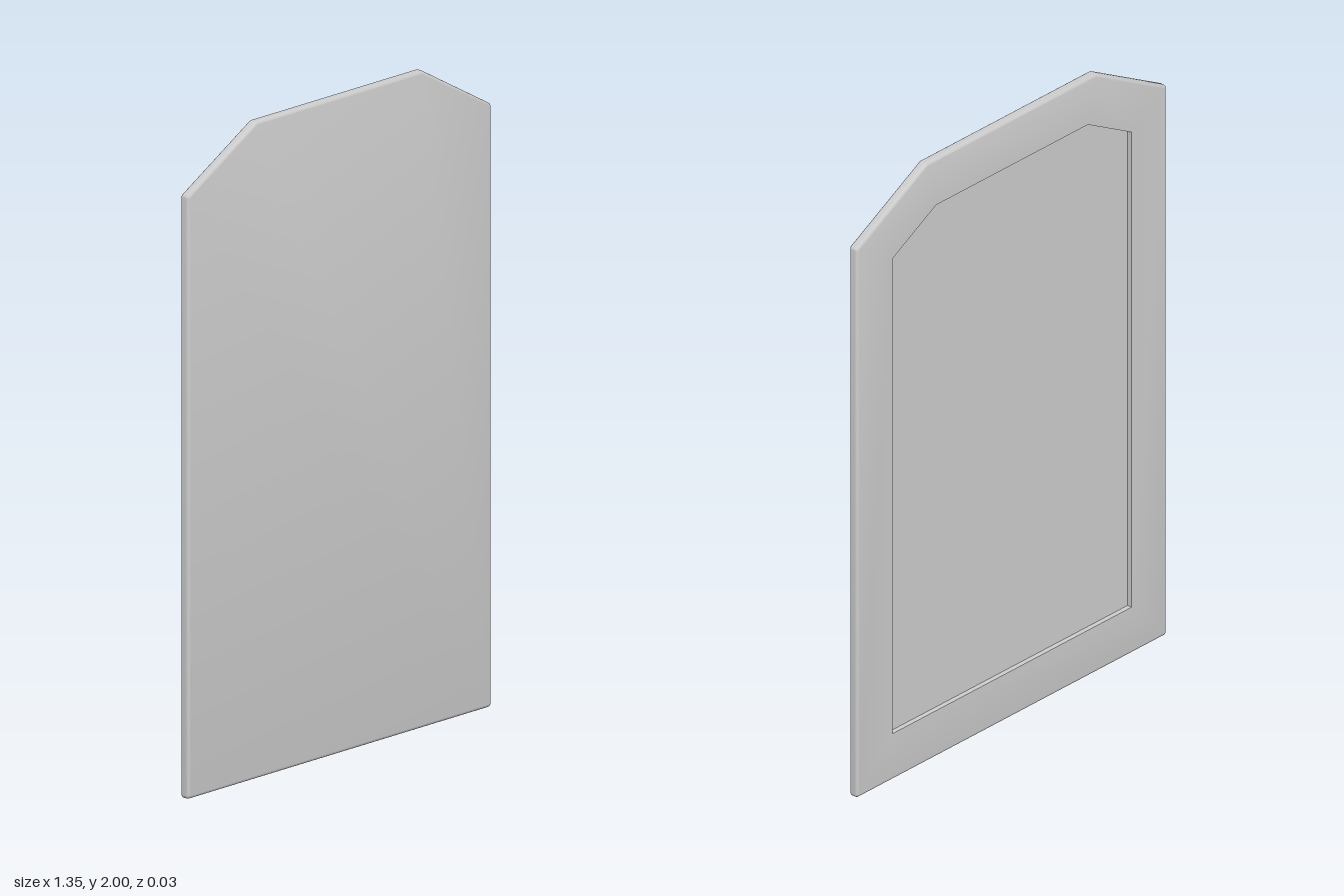
import * as THREE from 'three';
import { toCreasedNormals } from 'three/addons/utils/BufferGeometryUtils.js';

const HALF = 0.016;   // half thickness
const ROUND = 0.011;  // edge rounding
const BORDER = 0.155; // frame width around the recess
const DEPTH = 0.016;  // recess depth
const STEPS = 4;      // segments per rounded corner

// Board outline, counter-clockwise seen from the front
const outline = [
  [0.677, 0], [0.677, 1.835], [0.37, 2], [-0.37, 2], [-0.677, 1.835], [-0.677, 0],
].map(([x, y]) => new THREE.Vector2(x, y));

// Outline moved inward by d, with corners rounded near the outer edge
function ring(d, z) {
  const n = outline.length;
  const normal = (i) => {
    const e = outline[(i + 1) % n].clone().sub(outline[i % n]).normalize();
    return new THREE.Vector2(e.y, -e.x);
  };
  const points = [];
  for (let i = 0; i < n; i++) {
    const n1 = normal(i + n - 1), n2 = normal(i);
    const mitre = n1.clone().add(n2).divideScalar(1 + n1.dot(n2));
    const centre = outline[i].clone().addScaledVector(mitre, -Math.max(d, ROUND));
    for (let s = 0; s <= STEPS; s++) {
      const dir = n1.clone().lerp(n2, s / STEPS).normalize();
      const p = centre.clone().addScaledVector(dir, Math.max(ROUND - d, 0));
      points.push(new THREE.Vector3(p.x, p.y, z));
    }
  }
  return points;
}

function boardGeometry() {
  // Cross-section: front edge, side, back edge, frame, recess wall
  const rings = [];
  for (const side of [1, -1]) {
    for (let s = 0; s <= STEPS; s++) {
      const a = (side > 0 ? s : STEPS - s) / STEPS * Math.PI / 2;
      rings.push(ring(ROUND * (1 - Math.sin(a)), side * (HALF - ROUND + ROUND * Math.cos(a))));
    }
  }
  rings.push(ring(BORDER, -HALF), ring(BORDER, -HALF + DEPTH));

  const positions = [];
  const triangle = new THREE.Triangle();
  const add = (a, b, c) => {
    if (triangle.set(a, b, c).getArea() < 1e-9) return;
    positions.push(...a.toArray(), ...b.toArray(), ...c.toArray());
  };
  for (let i = 0; i < rings.length - 1; i++) {
    const p = rings[i], q = rings[i + 1];
    for (let k = 0; k < p.length; k++) {
      const m = (k + 1) % p.length;
      add(p[k], q[k], q[m]);
      add(p[k], q[m], p[m]);
    }
  }
  // Flat front face and recessed back panel
  const front = rings[0], back = rings[rings.length - 1];
  for (let k = 1; k < front.length - 1; k++) {
    add(front[0], front[k], front[k + 1]);
    add(back[0], back[k + 1], back[k]);
  }
  const geometry = new THREE.BufferGeometry();
  geometry.setAttribute('position', new THREE.Float32BufferAttribute(positions, 3));
  return toCreasedNormals(geometry, Math.PI / 6);
}

export function createModel() {
  const group = new THREE.Group();
  group.name = 'panel';
  const board = new THREE.Mesh(boardGeometry(), new THREE.MeshStandardMaterial({ color: 0xcccccc }));
  board.name = 'recessedBoard';
  group.add(board);
  return group;
}
